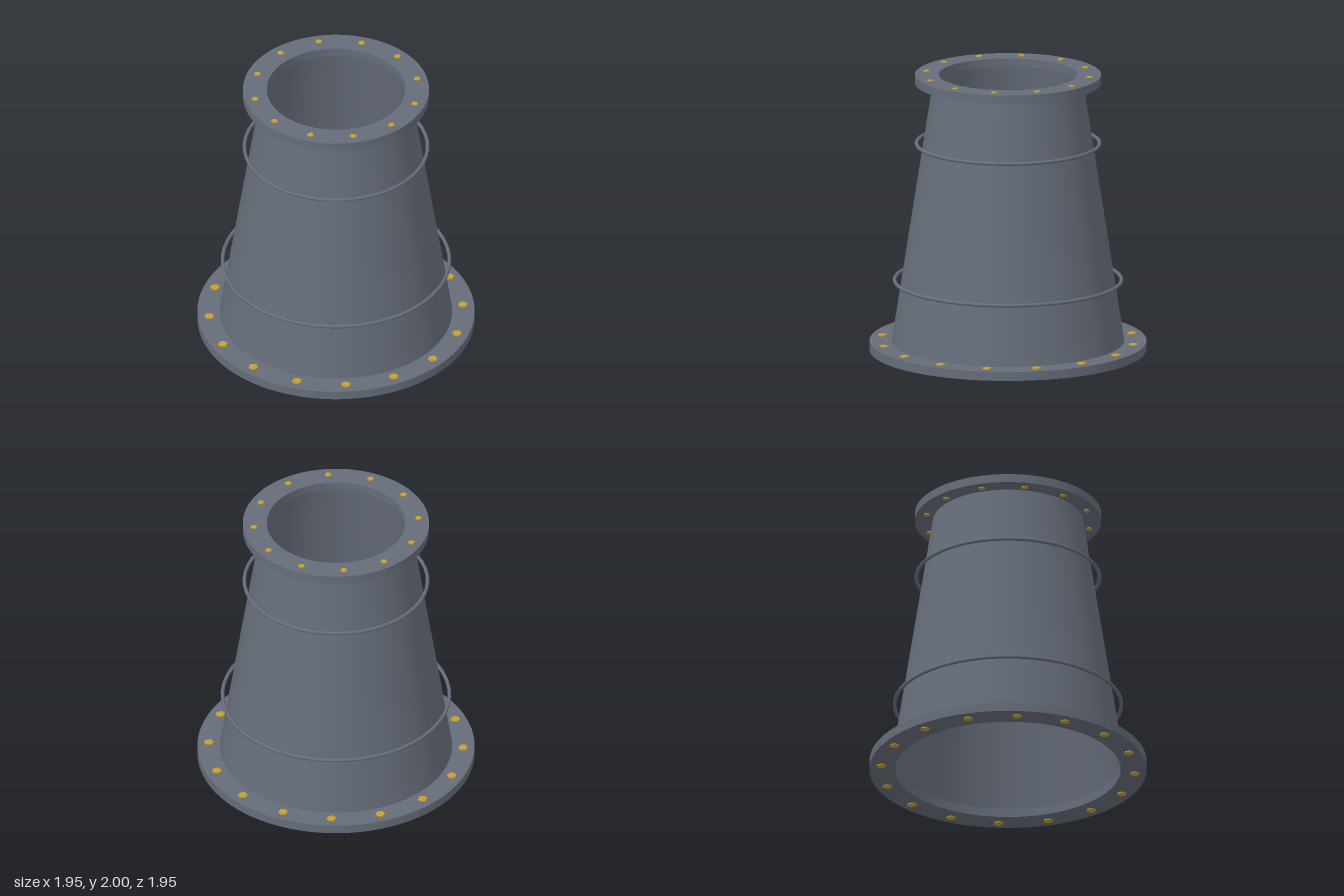
import * as THREE from 'three';

const steel = new THREE.MeshStandardMaterial({ color: 0x666d79 });
steel.name = 'slate steel';
const brass = new THREE.MeshStandardMaterial({ color: 0xc4a030 });
brass.name = 'brass';

function add(parent, name, geometry, material) {
  const mesh = new THREE.Mesh(geometry, material);
  mesh.name = name;
  parent.add(mesh);
  return mesh;
}

// Flat annular plate with square edges, standing on y.
function flange(parent, name, outer, inner, y, thickness) {
  const shape = new THREE.Shape().absarc(0, 0, outer, 0, Math.PI * 2, false);
  shape.holes.push(new THREE.Path().absarc(0, 0, inner, 0, Math.PI * 2, true));
  const geometry = new THREE.ExtrudeGeometry(shape, {
    depth: thickness, bevelEnabled: false, curveSegments: 64,
  });
  geometry.rotateX(-Math.PI / 2);
  add(parent, name, geometry, steel).position.y = y;
}

// Hexagonal bolts passing through a flange, all aligned the same way.
function boltCircle(parent, name, count, circle, radius, bottom, top) {
  const group = new THREE.Group();
  group.name = name;
  const geometry = new THREE.CylinderGeometry(radius, radius, top - bottom, 6).toNonIndexed();
  geometry.computeVertexNormals();
  for (let i = 0; i < count; i++) {
    const a = (i / count) * Math.PI * 2;
    add(group, 'bolt', geometry, brass)
      .position.set(Math.cos(a) * circle, (bottom + top) / 2, Math.sin(a) * circle);
  }
  parent.add(group);
}

// Thin hoop standing clear of the cone.
function hoop(parent, name, radius, y) {
  const geometry = new THREE.TorusGeometry(radius, 0.013, 10, 48);
  geometry.rotateX(Math.PI / 2);
  add(parent, name, geometry, steel).position.y = y;
}

export function createModel() {
  const model = new THREE.Group();
  model.name = 'flangedReducer';

  // Hollow tapered body: outer and inner walls
  const wall = (...points) =>
    new THREE.LatheGeometry(points.map(([r, y]) => new THREE.Vector2(r, y)), 64);
  add(model, 'outerWall', wall([0.823, 0.04], [0.525, 1.96]), steel);
  add(model, 'innerWall', wall([0.487, 1.935], [0.793, 0.07]), steel);

  // End flanges
  flange(model, 'bottomFlange', 0.975, 0.793, 0.007, 0.065);
  flange(model, 'topFlange', 0.655, 0.487, 1.932, 0.062);

  // Bolts
  boltCircle(model, 'bottomBolts', 16, 0.895, 0.034, 0, 0.08);
  boltCircle(model, 'topBolts', 12, 0.582, 0.024, 1.926, 2);

  // Hoops
  hoop(model, 'lowerHoop', 0.799, 0.51);
  hoop(model, 'upperHoop', 0.645, 1.497);

  return model;
}
